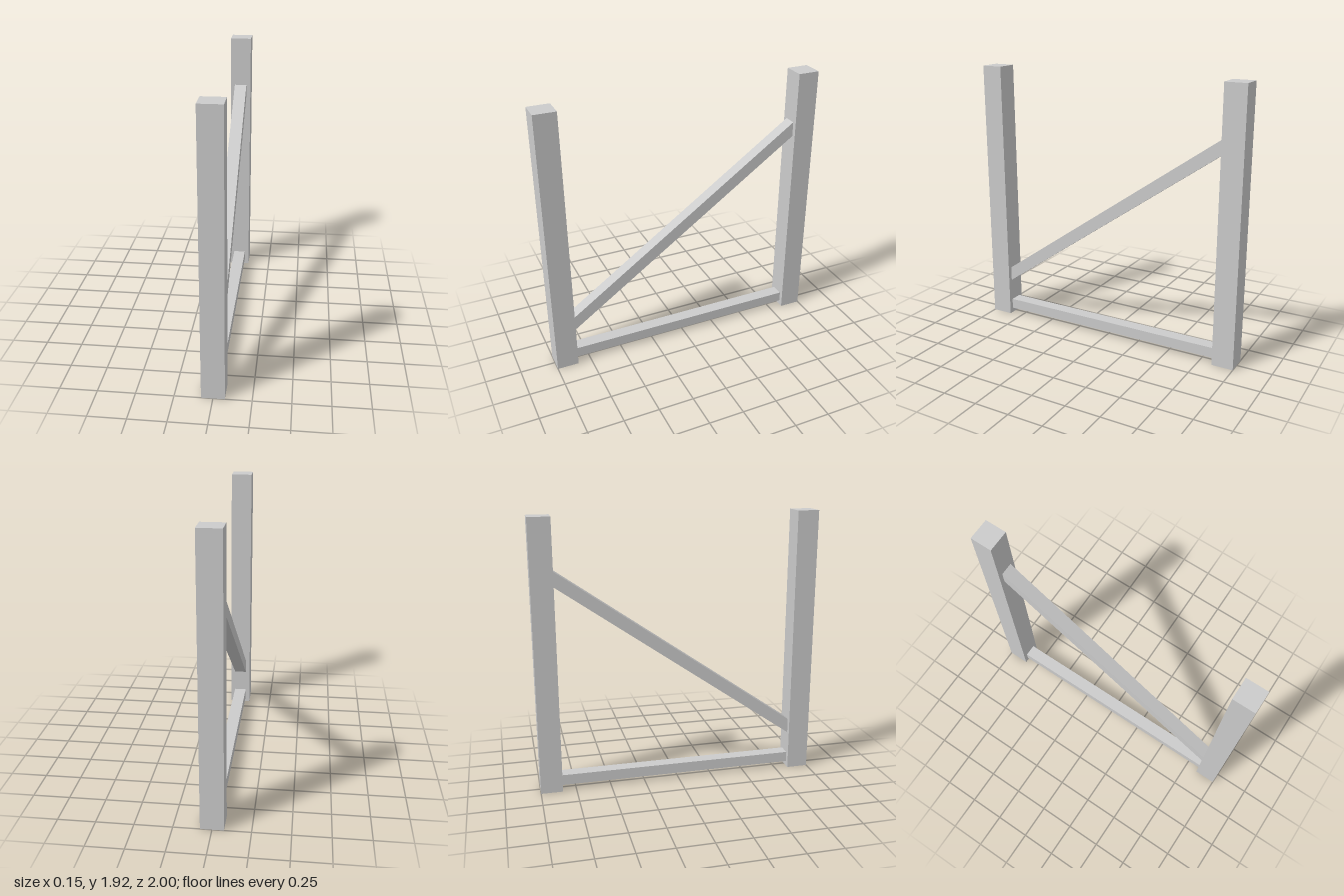
import * as THREE from 'three';

const HALF = 0.847;      // inner face of each post
const POST = 0.153;      // post width
const HEIGHT = 1.925;

// Box without the listed sides (0 +x, 1 -x, 2 +y, 3 -y, 4 +z, 5 -z)
function openBox(w, h, d, openSides) {
  const geo = new THREE.BoxGeometry(w, h, d);
  const index = Array.from(geo.index.array);
  geo.setIndex(index.filter((_, i) => !openSides.includes(Math.floor(i / 6))));
  geo.clearGroups();
  return geo;
}

// Beam between the posts; its ends stay vertical while the centre line goes from yFront to yBack
function beam(height, yFront, yBack) {
  const geo = openBox(0.09, height, HALF * 2, [4, 5]);
  const p = geo.attributes.position;
  for (let i = 0; i < p.count; i++) {
    const t = (HALF - p.getZ(i)) / (2 * HALF);
    p.setY(i, p.getY(i) + yFront + (yBack - yFront) * t);
  }
  geo.computeVertexNormals();
  return geo;
}

export function createModel() {
  const model = new THREE.Group();
  model.name = 'bracedFrame';
  const material = new THREE.MeshStandardMaterial({ color: 0xcccccc, side: THREE.DoubleSide });
  const add = (name, geo) => {
    const mesh = new THREE.Mesh(geo, material);
    mesh.name = name;
    model.add(mesh);
    return mesh;
  };

  // Upright posts, hollow at the foot
  for (const [name, s] of [['frontPost', 1], ['backPost', -1]]) {
    add(name, openBox(POST, HEIGHT, POST, [3])).position.set(0, HEIGHT / 2, s * (1 - POST / 2));
  }

  // Bottom rail and diagonal brace
  add('bottomRail', beam(0.075, 0.073, 0.073));
  add('diagonalBrace', beam(0.105, 0.325, 1.513));

  return model;
}
